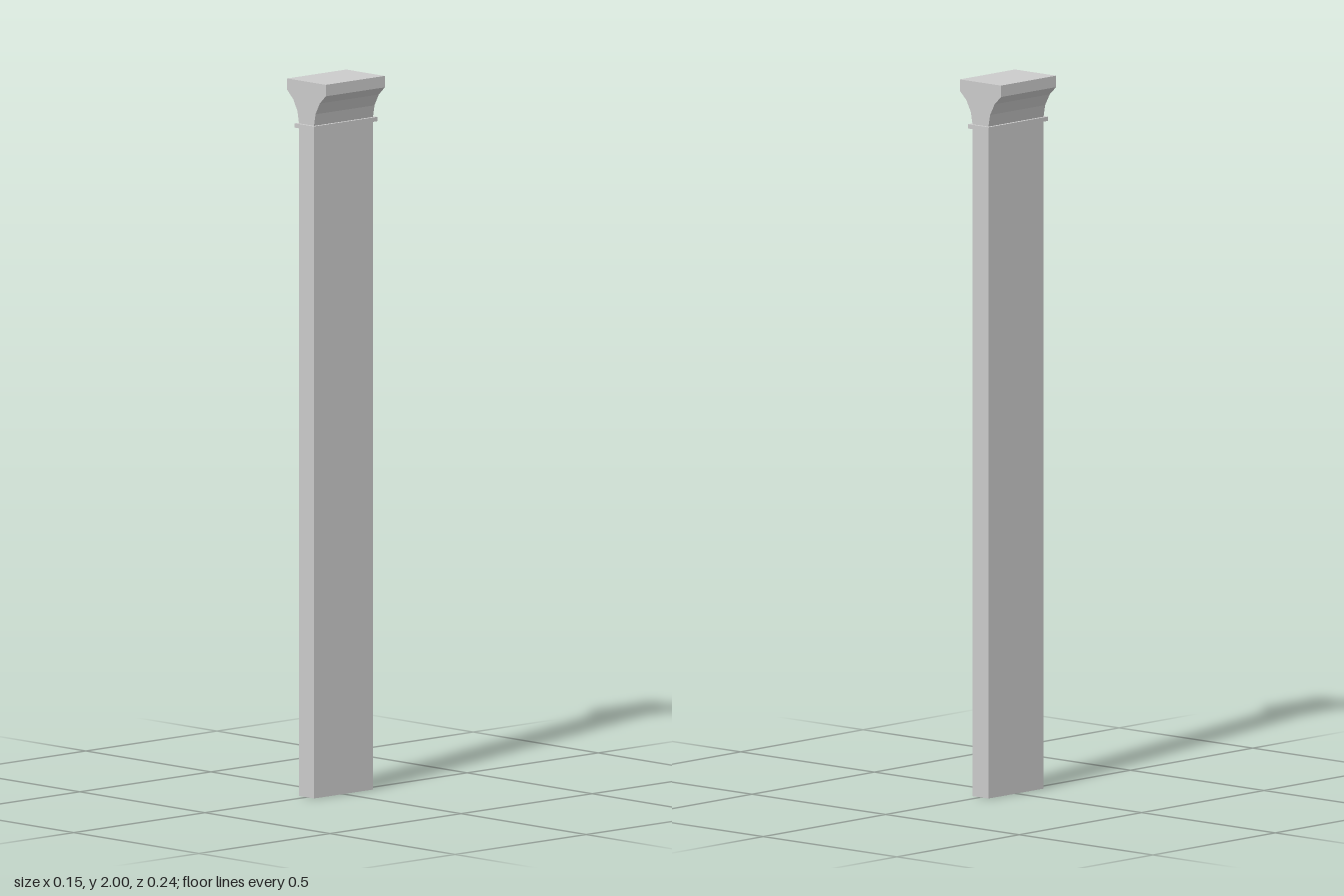
import * as THREE from 'three';

export function createModel() {
  const group = new THREE.Group();
  const material = new THREE.MeshStandardMaterial({ color: 0xcccccc, flatShading: true });
  const depth = 0.225;

  const add = (name, geometry, y) => {
    const mesh = new THREE.Mesh(geometry, material);
    mesh.name = name;
    mesh.position.y = y;
    group.add(mesh);
    return mesh;
  };

  // Plain rectangular shaft
  add('shaft', new THREE.BoxGeometry(0.06, 1.87, depth), 0.935);

  // Thin collar projecting on all four sides
  add('collar', new THREE.BoxGeometry(0.077, 0.012, 0.242), 1.874);

  // Capital: concave flare on both sides below a straight upper edge
  const side = [[0.03, 1.87], [0.03, 1.88], [0.036, 1.913], [0.053, 1.945], [0.077, 1.968], [0.077, 2]];
  const outline = [...side, ...side.map(([x, y]) => [-x, y]).reverse()];
  const shape = new THREE.Shape(outline.map(([x, y]) => new THREE.Vector2(x, y)));
  const capital = new THREE.ExtrudeGeometry(shape, { depth, bevelEnabled: false });
  capital.translate(0, 0, -depth / 2);
  add('capital', capital, 0);

  return group;
}
